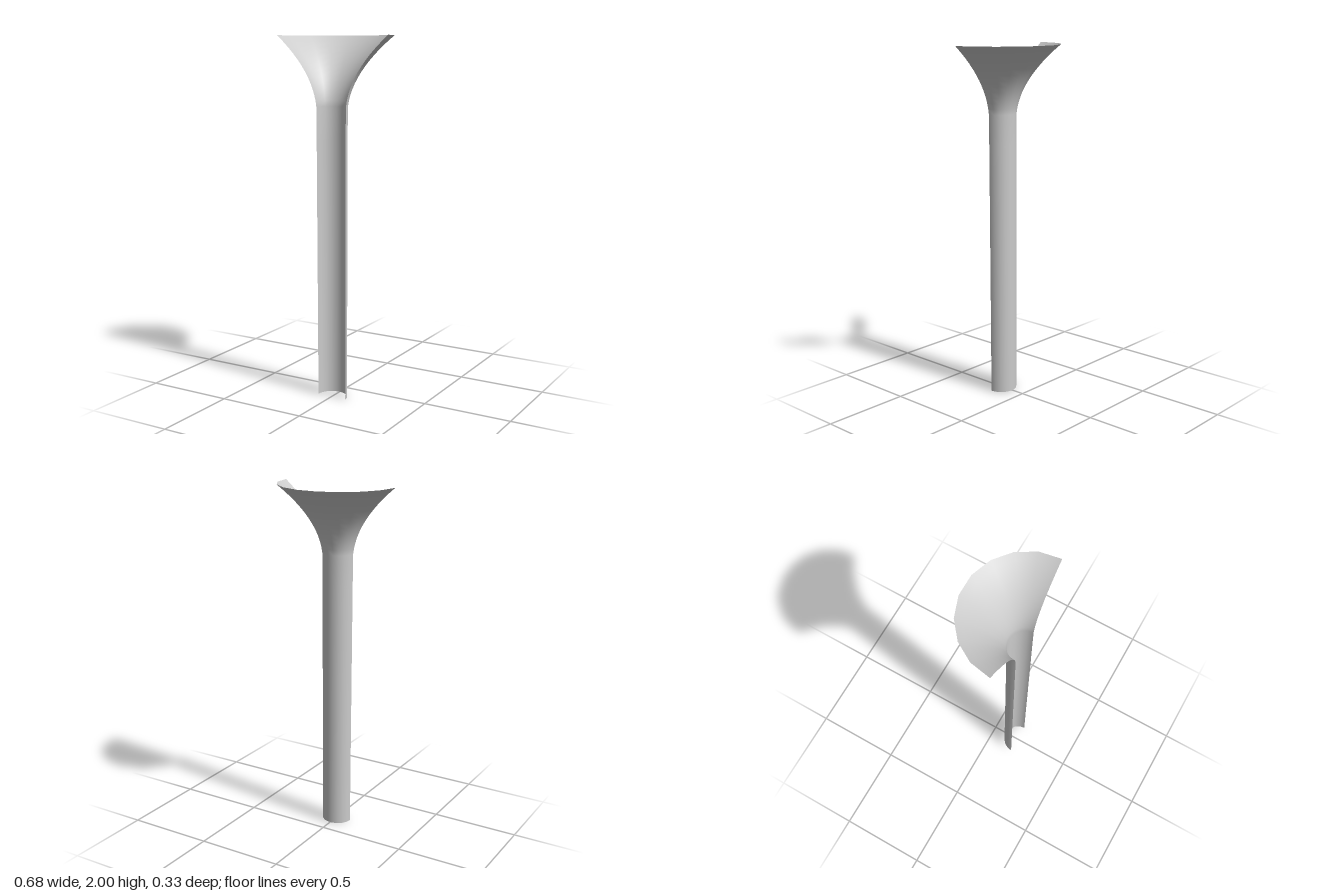
import * as THREE from 'three';

export function createModel() {
  const group = new THREE.Group();
  const material = new THREE.MeshStandardMaterial({ color: 0xcccccc, side: THREE.DoubleSide });

  // Profile: slightly tapered stem, then a flare opening to the rim
  const flare = new THREE.QuadraticBezierCurve(
    new THREE.Vector2(0.092, 1.62),
    new THREE.Vector2(0.113, 1.81),
    new THREE.Vector2(0.342, 2)
  );
  const profile = [
    new THREE.Vector2(0.088, 0),
    new THREE.Vector2(0.089, 0.6),
    new THREE.Vector2(0.091, 1.44),
    ...flare.getPoints(12),
  ];

  // Open half shell of nine sides, bulging towards the back
  const geometry = new THREE.LatheGeometry(profile, 9, Math.PI / 2, Math.PI);
  geometry.scale(1, 1, 0.977);
  geometry.translate(0, 0, 0.1645);

  const shell = new THREE.Mesh(geometry, material);
  shell.name = 'flaredHalfTube';
  group.add(shell);
  return group;
}
